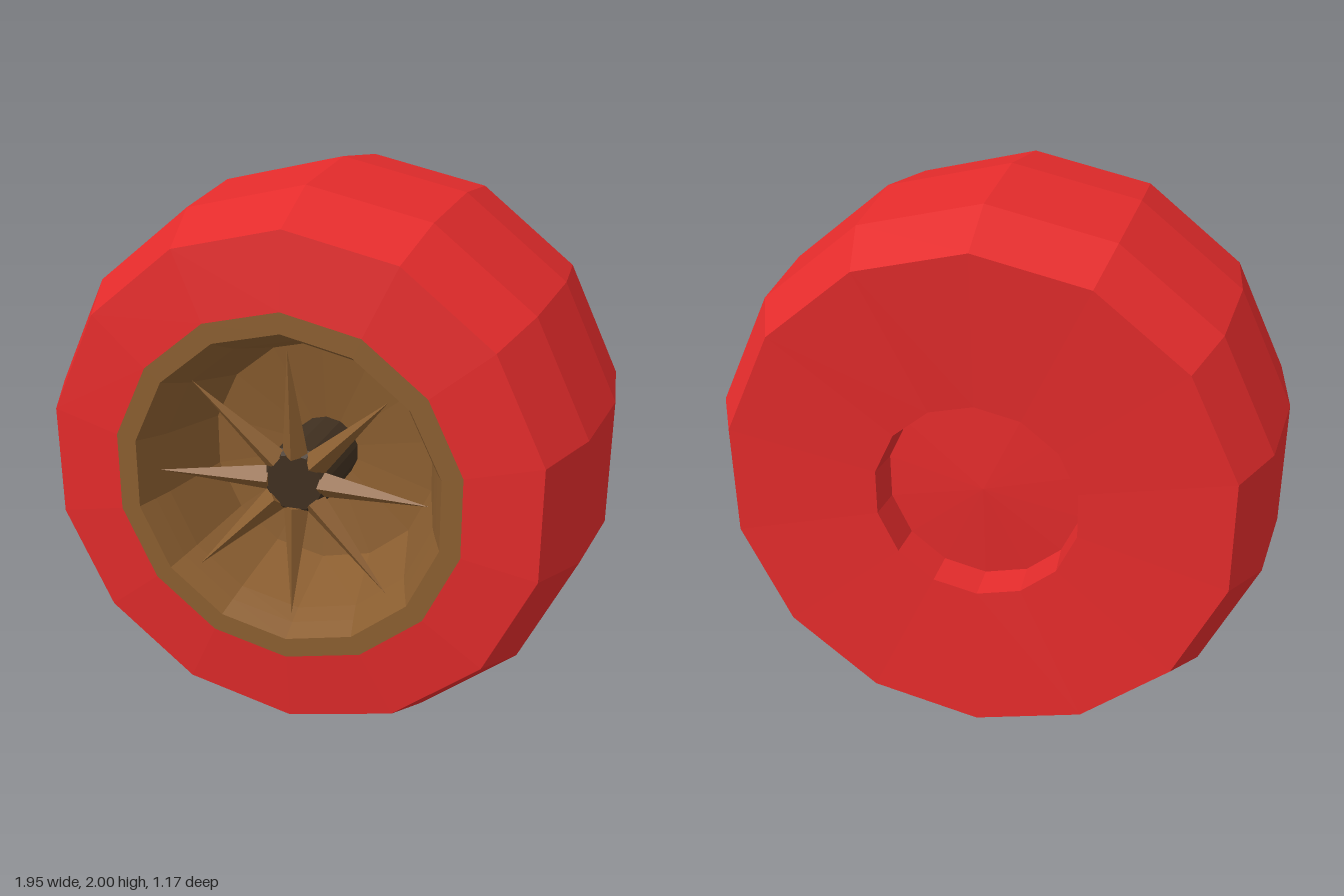
import * as THREE from 'three';

const SIDES = 14;

function part(name, geometry, color) {
  const material = new THREE.MeshStandardMaterial({ flatShading: true });
  material.color.set(color);
  const mesh = new THREE.Mesh(geometry, material);
  mesh.name = name;
  return mesh;
}

// Turn a [radius, z] profile about the axle; listed back to front along the outside
function turned(name, profile, color) {
  const points = profile.map(([r, z]) => new THREE.Vector2(r, z));
  return part(name, new THREE.LatheGeometry(points, SIDES).rotateX(Math.PI / 2), color);
}

export function createModel() {
  const wheel = new THREE.Group();
  wheel.name = 'wheel';
  const red = 0xe32b2b, brown = 0x8b5e30, dark = 0x403020;

  // Tire with a shallow socket in the back
  wheel.add(turned('tire', [
    [0, -0.45], [0.34, -0.43], [0.35, -0.555], [0.86, -0.585], [0.96, -0.4],
    [1, -0.03], [0.96, 0.34], [0.86, 0.56], [0.61, 0.585],
  ], red));

  // Rim lip and stepped dish
  wheel.add(turned('rim', [
    [0.61, 0.585], [0.54, 0.585], [0.51, 0.52], [0.485, 0.46], [0.41, 0.2], [0, 0.14],
  ], brown));

  // Hub post with a bevelled end
  wheel.add(turned('hub', [
    [0.12, 0.12], [0.12, 0.46], [0.1, 0.485], [0, 0.485],
  ], dark));

  // Pointed spokes leaning slightly outwards
  const length = 0.385;
  const spokeShape = new THREE.ConeGeometry(0.045, length, 4)
    .translate(0, length / 2, 0)
    .rotateX(0.16)
    .translate(0, 0.095, 0.465);
  for (let i = 0; i < 8; i++) {
    const spoke = part('spoke', spokeShape, brown);
    spoke.rotation.z = (i * Math.PI) / 4;
    wheel.add(spoke);
  }

  wheel.position.y = 1;
  const model = new THREE.Group();
  model.add(wheel);
  return model;
}
